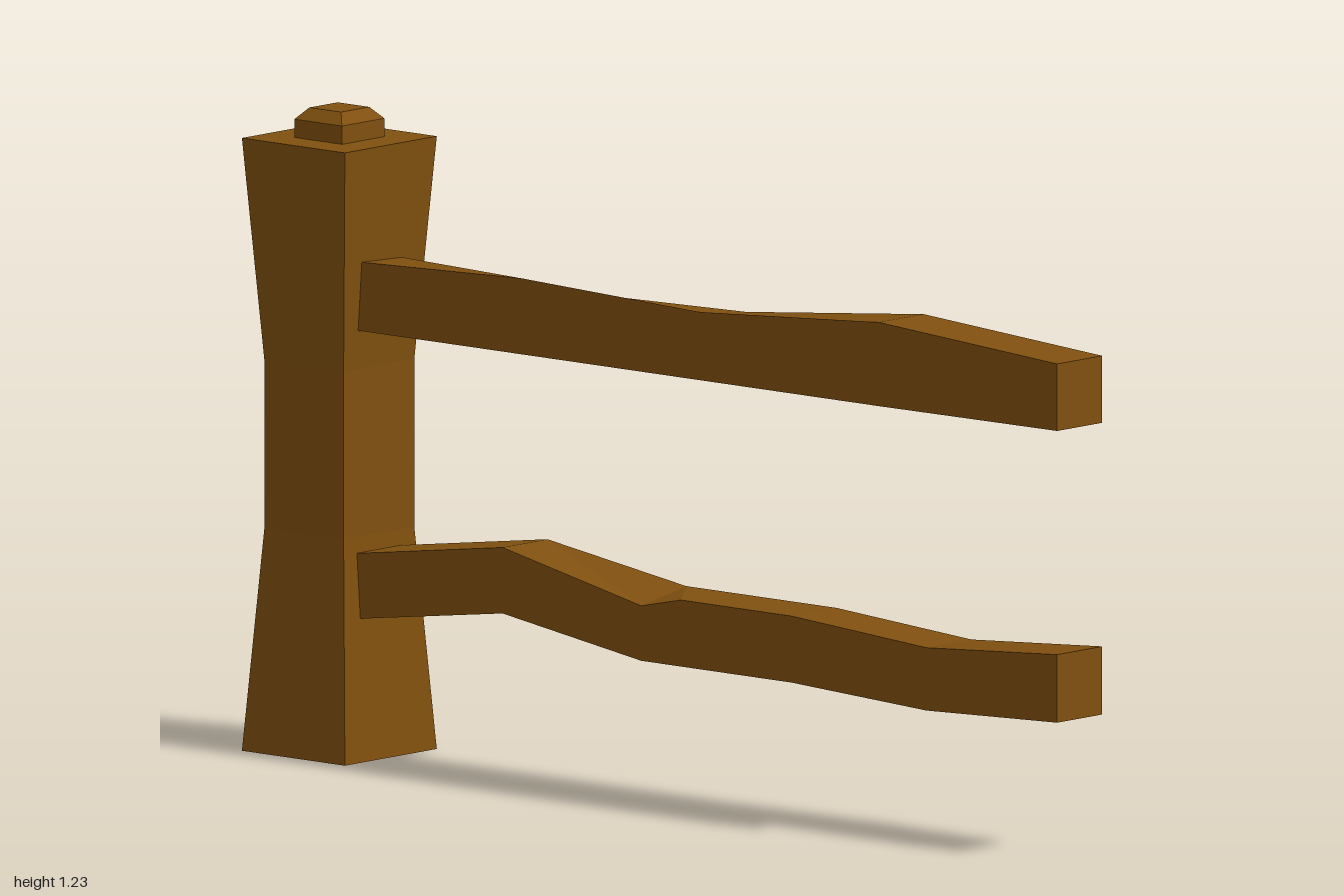
import * as THREE from 'three';

const wood = new THREE.MeshStandardMaterial({ color: 0x80500f });
wood.name = 'brown wood';
wood.flatShading = true;

// Closed solid through four-cornered rings, listed counter-clockwise seen from the last ring
function loft(name, rings) {
  const pos = [];
  const quad = (a, b, c, d) => pos.push(...a, ...b, ...c, ...a, ...c, ...d);
  for (let i = 0; i < rings.length - 1; i++) {
    for (let j = 0; j < 4; j++) {
      const k = (j + 1) % 4;
      quad(rings[i][j], rings[i][k], rings[i + 1][k], rings[i + 1][j]);
    }
  }
  const first = rings[0], last = rings[rings.length - 1];
  quad(first[3], first[2], first[1], first[0]);
  quad(last[0], last[1], last[2], last[3]);
  const geo = new THREE.BufferGeometry();
  geo.setAttribute('position', new THREE.Float32BufferAttribute(pos, 3));
  geo.computeVertexNormals();
  const mesh = new THREE.Mesh(geo, wood);
  mesh.name = name;
  return mesh;
}

// Horizontal square ring around the post axis
const POST_Z = -0.87;
const square = ([y, r]) => [
  [-r, y, POST_Z + r], [r, y, POST_Z + r], [r, y, POST_Z - r], [-r, y, POST_Z - r],
];

// Rail cross-section: heights of the left and right edges, plus an optional low bulge
const section = ([z, topL, topR, botL, botR, bulge = 0]) => [
  [-0.065, botR, z], [0.062 + bulge, botL, z], [0.062, topL, z], [-0.065, topR, z],
];

export function createModel() {
  const group = new THREE.Group();
  group.name = 'fencePost';

  // Waisted post and its chamfered cap
  group.add(loft('post', [[0, 0.13], [0.425, 0.1], [0.745, 0.1], [1.17, 0.13]].map(square)));
  group.add(loft('postCap', [[1.165, 0.06], [1.205, 0.06], [1.227, 0.04]].map(square)));

  // Crooked rails, from the post to the free end
  group.add(loft('upperRail', [
    [-0.8, 0.945, 0.95, 0.82, 0.82],
    [-0.35, 0.925, 0.965, 0.82, 0.82],
    [0.1, 0.935, 0.95, 0.82, 0.82],
    [0.55, 0.98, 0.98, 0.853, 0.82],
    [1, 0.95, 0.95, 0.822, 0.822],
  ].map(section)));
  group.add(loft('lowerRail', [
    [-0.8, 0.39, 0.39, 0.265, 0.265],
    [-0.4, 0.446, 0.446, 0.32, 0.32],
    [-0.05, 0.395, 0.373, 0.268, 0.268],
    [0.05, 0.395, 0.395, 0.268, 0.268],
    [0.33, 0.395, 0.395, 0.268, 0.268],
    [0.67, 0.372, 0.372, 0.252, 0.252, 0.013],
    [1, 0.395, 0.395, 0.265, 0.265],
  ].map(section)));
  return group;
}
